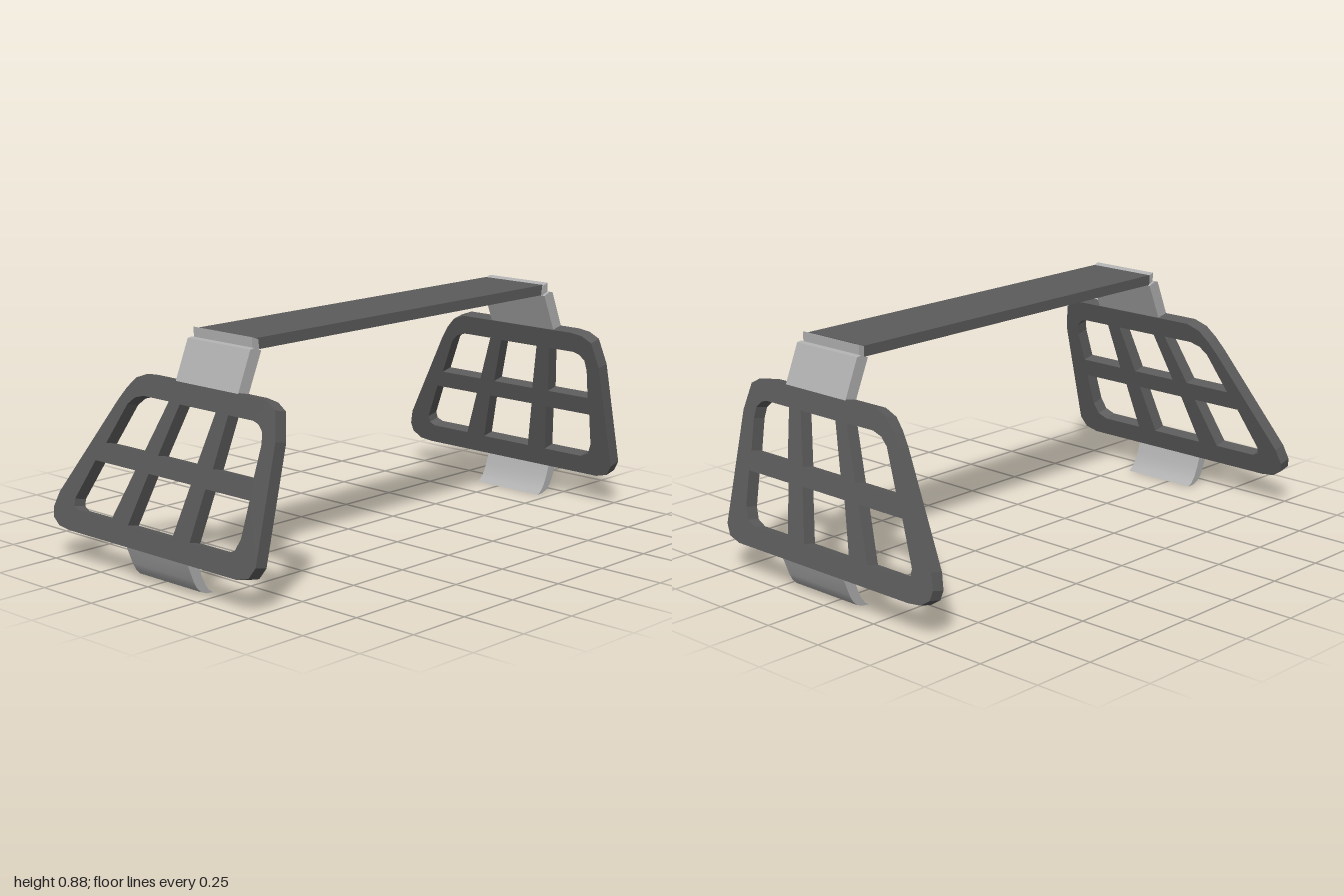
import * as THREE from 'three';
import { toCreasedNormals } from 'three/addons/utils/BufferGeometryUtils.js';

const light = new THREE.MeshStandardMaterial({ color: 0xb1b1b1 });
const dark = new THREE.MeshStandardMaterial({ color: 0x5b5b5b });

const points = (list, sx) => list.map(([a, b]) => new THREE.Vector2(a * sx, b));

// Side panel outline and window openings, as [z, y] on the outer face
const OUTLINE = [
  [0.523, 0.579], [0.5, 0.677], [0.459, 0.7], [0.408, 0.707], [-0.134, 0.708], [-0.19, 0.688],
  [-0.23, 0.649], [-0.268, 0.599], [-0.503, 0.241], [-0.522, 0.185], [-0.515, 0.151],
  [-0.476, 0.126], [-0.42, 0.12], [0.445, 0.12], [0.498, 0.134], [0.523, 0.173],
];
const WINDOWS = [
  [[0.45, 0.447], [0.462, 0.56], [0.457, 0.6], [0.435, 0.622], [0.408, 0.63], [0.288, 0.63], [0.255, 0.447]],
  [[0.227, 0.63], [0.048, 0.63], [-0.02, 0.447], [0.176, 0.447]],
  [[-0.008, 0.632], [-0.14, 0.632], [-0.182, 0.62], [-0.215, 0.593], [-0.294, 0.447], [-0.092, 0.447]],
  [[0.448, 0.378], [0.235, 0.378], [0.199, 0.193], [0.378, 0.193], [0.417, 0.21], [0.436, 0.252]],
  [[0.162, 0.38], [-0.053, 0.38], [-0.117, 0.193], [0.112, 0.193]],
  [[-0.123, 0.38], [-0.336, 0.38], [-0.414, 0.232], [-0.411, 0.207], [-0.386, 0.195], [-0.207, 0.195]],
];

// Slab cut in the z-y plane, then leaned inwards toward its top
function panelGeometry(side) {
  // The outline runs counter-clockwise so that the window walls face into the openings
  const shape = new THREE.Shape(points(OUTLINE, -1).reverse());
  shape.holes = WINDOWS.map((w) => new THREE.Path(points(w, -1)));
  const geo = new THREE.ExtrudeGeometry(shape, { depth: 1, bevelEnabled: false });
  geo.rotateY(Math.PI / 2);
  const p = geo.attributes.position;
  for (let i = 0; i < p.count; i++) {
    const y = p.getY(i);
    const inward = side > 0 ? 1 - p.getX(i) : p.getX(i);
    p.setX(i, side * (1 - (y - 0.12) * 0.233 - inward * 0.049));
    p.setY(i, y - inward * 0.0114);
  }
  geo.computeVertexNormals();
  return geo;
}

// Profile in the x-y plane carried from z0 to z1
function profileGeometry(profile, side, z0, z1) {
  const shape = new THREE.Shape(points(profile, side));
  const geo = new THREE.ExtrudeGeometry(shape, { depth: z1 - z0, bevelEnabled: false });
  return geo.translate(0, 0, z0);
}

export function createModel() {
  const model = new THREE.Group();
  model.name = 'frame';
  const add = (name, geo, mat) => {
    const mesh = new THREE.Mesh(geo, mat);
    mesh.name = name;
    model.add(mesh);
  };

  // Flat bar joining both sides
  const bar = new THREE.BoxGeometry(1.53, 0.039, 0.285);
  add('crossbar', bar.translate(0, 0.857, 0.163), dark);

  for (const side of [1, -1]) {
    const label = side > 0 ? 'left' : 'right';
    add(label + 'Panel', panelGeometry(side), dark);

    // Lip closing the end of the bar
    const cap = [[0.755, 0.838], [0.76, 0.873], [0.788, 0.883], [0.788, 0.842]];
    add(label + 'EndCap', profileGeometry(cap, side, 0.022, 0.309), light);

    // Slanted bracket from bar to panel
    const bracket = [[0.757, 0.836], [0.788, 0.848], [0.807, 0.845], [0.865, 0.704], [0.818, 0.692]];
    add(label + 'Bracket', profileGeometry(bracket, side, 0.012, 0.32), light);

    // Curved hook under the panel
    const hook = [
      [1, 0.12], [0.975, 0.058], [0.96, 0.031], [0.942, 0.013], [0.916, 0.003], [0.885, 0],
      [0.904, 0.012], [0.922, 0.035], [0.938, 0.07], [0.951, 0.1086],
    ];
    add(label + 'Hook', toCreasedNormals(profileGeometry(hook, side, -0.106, 0.207), 0.6), light);
  }
  return model;
}
